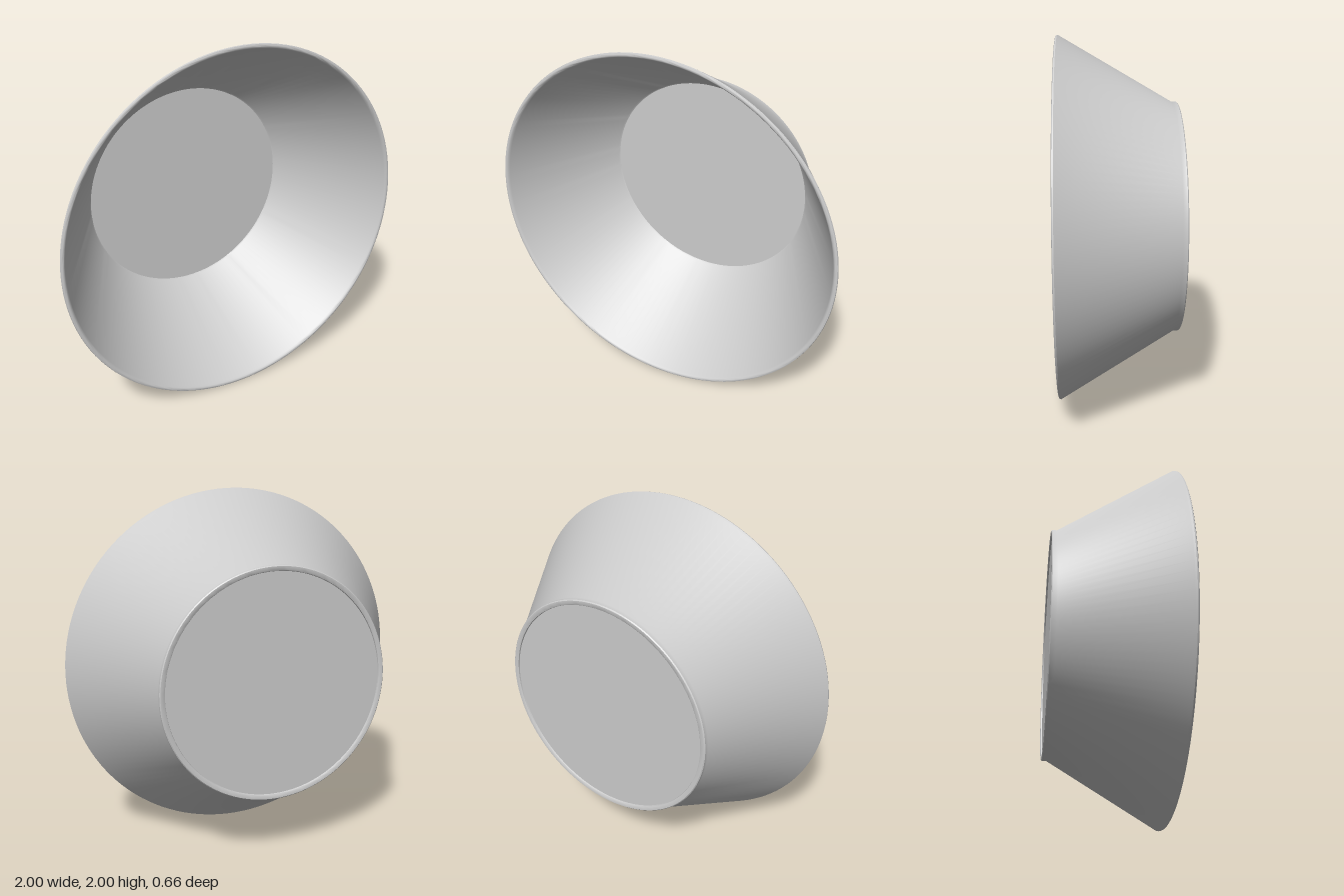
import * as THREE from 'three';
import { toCreasedNormals } from 'three/addons/utils/BufferGeometryUtils.js';

const material = new THREE.MeshStandardMaterial({ color: 0xcccccc });

// Spins a [radius, z] profile around the z axis, keeping hard corners sharp.
function turned(name, profile) {
  const points = profile.map(([r, z]) => new THREE.Vector2(r, z));
  const geometry = new THREE.LatheGeometry(points, 128);
  geometry.rotateX(Math.PI / 2);
  const mesh = new THREE.Mesh(toCreasedNormals(geometry, 0.6), material);
  mesh.name = name;
  return mesh;
}

export function createModel() {
  const group = new THREE.Group();
  group.name = 'bowl';

  const bowl = turned('bowlBody', [
    // recessed base
    [0, -0.318], [0.61, -0.318],
    // foot ring
    [0.612, -0.325], [0.617, -0.328], [0.636, -0.328], [0.641, -0.323], [0.641, -0.298],
    // flared outer wall
    [0.995, 0.309],
    // rounded rim
    [1.0, 0.318], [0.998, 0.325], [0.992, 0.328], [0.985, 0.328], [0.978, 0.324], [0.972, 0.315],
    // inner wall and floor
    [0.612, -0.293], [0.604, -0.299], [0, -0.299],
  ]);
  bowl.position.y = 1;
  group.add(bowl);
  return group;
}
